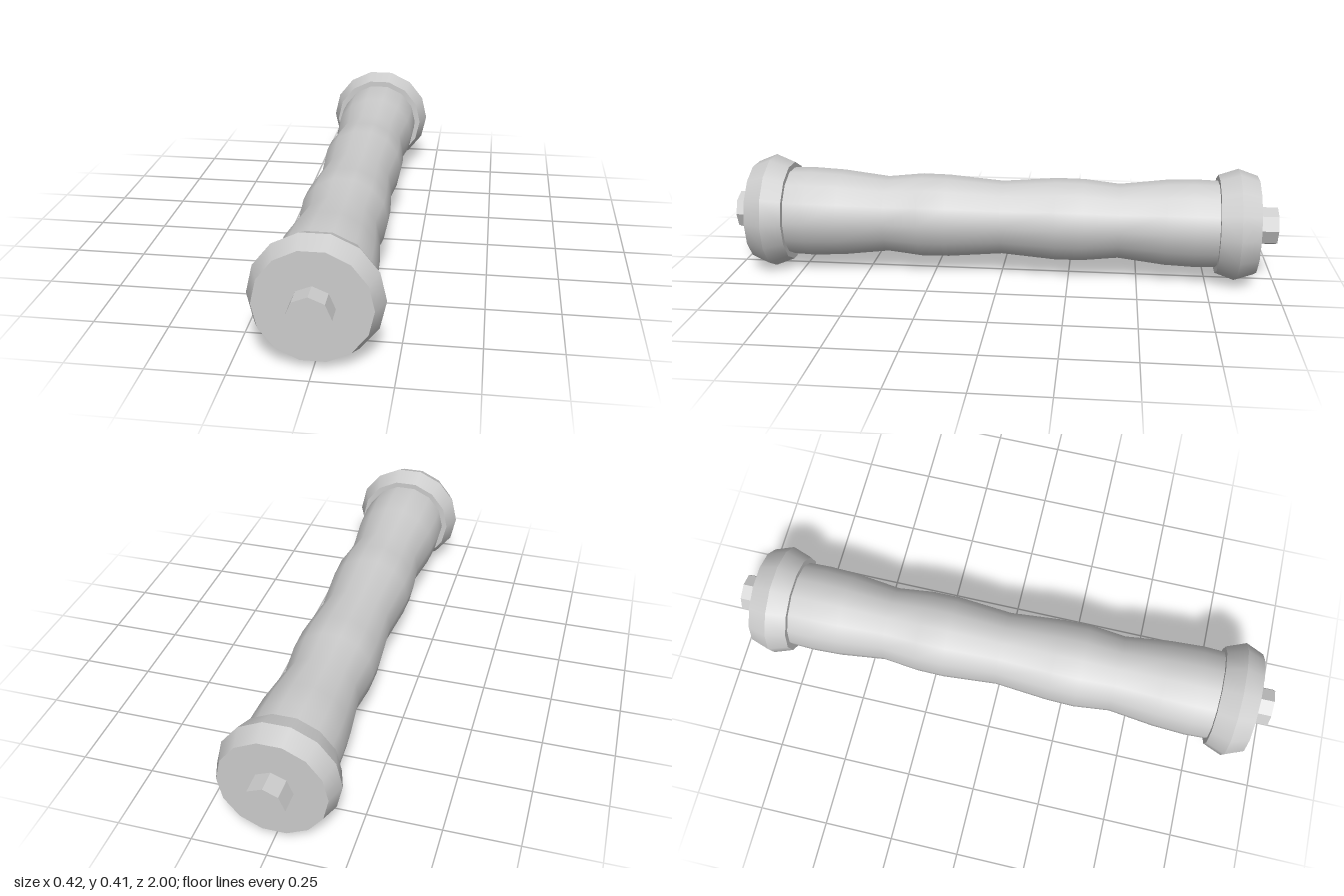
import * as THREE from 'three';

const SIDES = 14;
const AXIS_Y = 0.207;

export function createModel() {
  const model = new THREE.Group();
  const grey = new THREE.MeshStandardMaterial({ color: 0xcccccc });
  grey.name = 'pale grey';

  const add = (name, geometry, parent = model) => {
    const mesh = new THREE.Mesh(geometry, grey);
    mesh.name = name;
    parent.add(mesh);
  };

  // Tapered ring or solid lying along z, from z0 (radius r0) to z1 (radius r1)
  const taper = (r0, z0, r1, z1, sides, open) =>
    new THREE.CylinderGeometry(r1, r0, z1 - z0, sides, 1, open, Math.PI / 2)
      .rotateX(Math.PI / 2)
      .translate(0, AXIS_Y, (z0 + z1) / 2);

  const disc = (r, z, facing) => {
    const g = new THREE.CircleGeometry(r, SIDES);
    if (facing < 0) g.rotateY(Math.PI);
    return g.translate(0, AXIS_Y, z);
  };

  // Grip with four finger swells, slightly thicker toward the front
  const profile = [
    [0.158, -0.8], [0.161, -0.7], [0.157, -0.6], [0.137, -0.43],
    [0.151, -0.3], [0.152, -0.2], [0.136, 0],
    [0.153, 0.2], [0.155, 0.3], [0.141, 0.43],
    [0.161, 0.6], [0.167, 0.72], [0.163, 0.81],
  ].map(([r, z]) => new THREE.Vector2(r, z));
  add('grip', new THREE.LatheGeometry(profile, SIDES, Math.PI / 2)
    .rotateX(Math.PI / 2).translate(0, AXIS_Y, 0));

  // Ridged collars: two bevels meeting at a crest, closed by flat faces
  const collars = [
    { name: 'frontCollar', z: [0.795, 0.865, 0.932], end: 0.184, crest: 0.212 },
    { name: 'backCollar', z: [-0.925, -0.855, -0.785], end: 0.18, crest: 0.204 },
  ];
  for (const { name, z, end, crest } of collars) {
    const collar = new THREE.Group();
    collar.name = name;
    add('rearBevel', taper(end, z[0], crest, z[1], SIDES, true), collar);
    add('foreBevel', taper(crest, z[1], end, z[2], SIDES, true), collar);
    add('rearFace', disc(end, z[0], -1), collar);
    add('foreFace', disc(end, z[2], 1), collar);
    model.add(collar);
  }

  // Octagonal end pins with faceted sides
  const pin = (z0, z1) => {
    const g = taper(0.07, z0, 0.07, z1, 8, false).toNonIndexed();
    g.computeVertexNormals();
    return g;
  };
  add('frontPin', pin(0.92, 1));
  add('backPin', pin(-1, -0.91));

  return model;
}
